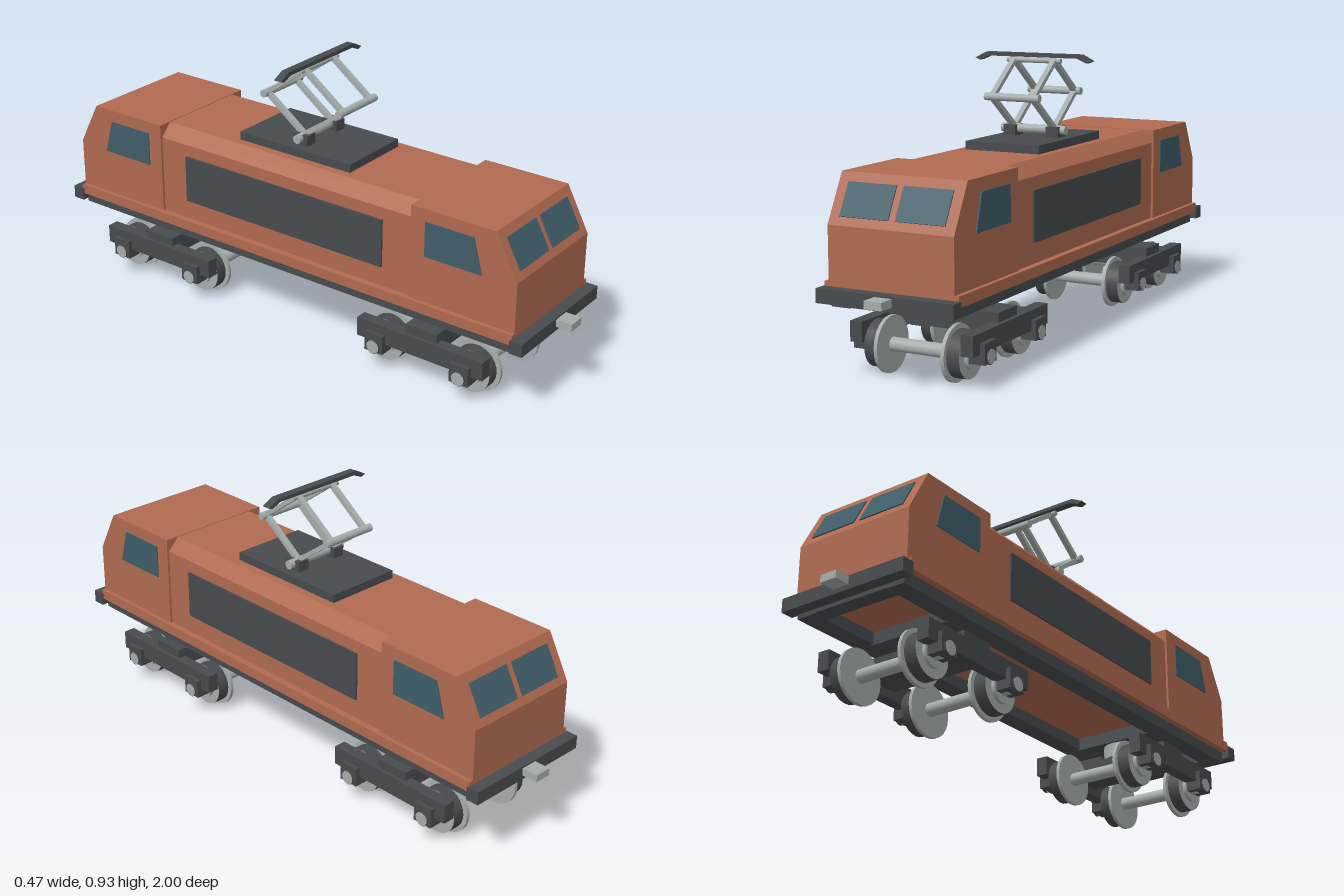
import * as THREE from 'three';

const mat = (color) => new THREE.MeshStandardMaterial({ color });
const paint = mat(0xb06a50), dark = mat(0x474b4e), glass = mat(0x3f5d69), metal = mat(0xa4adab);

function add(parent, name, geo, material, x = 0, y = 0, z = 0) {
  const m = new THREE.Mesh(geo, material);
  m.name = name;
  m.position.set(x, y, z);
  parent.add(m);
  return m;
}

// Box given by its extents on each axis
function box(parent, name, material, [x0, x1], [y0, y1], [z0, z1]) {
  return add(parent, name, new THREE.BoxGeometry(x1 - x0, y1 - y0, z1 - z0), material,
    (x0 + x1) / 2, (y0 + y1) / 2, (z0 + z1) / 2);
}

// Cylinder lying along x
function rod(parent, name, material, r, x0, x1, y, z, open = false) {
  const g = new THREE.CylinderGeometry(r, r, x1 - x0, 28, 1, open).rotateZ(Math.PI / 2);
  return add(parent, name, g, material, (x0 + x1) / 2, y, z);
}

function extrude(points, depth) {
  const shape = new THREE.Shape(points.map(([x, y]) => new THREE.Vector2(x, y)));
  return new THREE.ExtrudeGeometry(shape, { depth, bevelEnabled: false }).translate(0, 0, -depth / 2);
}
// Profile given as (z, y), extruded along x
const sideProfile = (points, width) => extrude(points, width).rotateY(-Math.PI / 2);

function makeEnd(name) {
  const end = new THREE.Group();
  end.name = name;
  add(end, 'cab', sideProfile([[0.52, 0.31], [0.905, 0.31], [0.905, 0.48], [0.825, 0.63], [0.52, 0.63]], 0.43), paint);
  for (const s of [-1, 1]) {
    add(end, 'cabSideWindow', sideProfile([[0.575, 0.47], [0.783, 0.47], [0.75, 0.588], [0.575, 0.588]], 0.008), glass, s * 0.215);
    // windscreen pane lying on the sloped nose
    const pane = add(end, 'windscreen', new THREE.BoxGeometry(0.168, 0.11, 0.008), glass, s * 0.096, 0.553, 0.866);
    pane.rotation.x = -Math.atan2(0.08, 0.15);
  }
  box(end, 'bufferBeam', dark, [-0.235, 0.235], [0.25, 0.295], [0.9, 0.945]);
  box(end, 'endCrossMember', dark, [-0.207, 0.207], [0.237, 0.28], [0.85, 0.905]);
  box(end, 'bolster', dark, [-0.15, 0.15], [0.232, 0.277], [0.48, 0.64]);
  box(end, 'coupler', metal, [-0.03, 0.03], [0.265, 0.29], [0.94, 1.0]);
  end.add(makeBogie());
  return end;
}

function makeBogie() {
  const bogie = new THREE.Group();
  bogie.name = 'bogie';
  bogie.position.z = 0.56;
  add(bogie, 'pivot', new THREE.CylinderGeometry(0.073, 0.073, 0.05, 32), metal, 0, 0.209, 0);
  box(bogie, 'transom', dark, [-0.2, 0.2], [0.13, 0.185], [-0.06, 0.06]);
  for (const s of [-1, 1]) {
    const span = (a, b) => (s > 0 ? [a, b] : [-b, -a]);
    box(bogie, 'transomEnd', dark, span(0.06, 0.2), [0.18, 0.198], [-0.06, 0.06]);
    box(bogie, 'sideFrame', dark, span(0.172, 0.214), [0.103, 0.168], [-0.24, 0.24]);
    for (const z of [-0.163, 0.163]) {
      // flange, tyre, wheel centre and hub
      rod(bogie, 'wheelFlange', metal, 0.09, ...span(0.11, 0.122), 0.09, z);
      rod(bogie, 'wheelCentre', metal, 0.0742, ...span(0.12, 0.165), 0.09, z);
      rod(bogie, 'wheelTyre', dark, 0.075, ...span(0.122, 0.1655), 0.09, z, true);
      rod(bogie, 'wheelHub', metal, 0.045, ...span(0.16, 0.177), 0.09, z);
      box(bogie, 'axleBox', dark, span(0.172, 0.23), [0.072, 0.138], [z - 0.035, z + 0.035]);
      rod(bogie, 'axleBoxRim', dark, 0.0245, ...span(0.225, 0.234), 0.092, z);
      rod(bogie, 'axleEnd', metal, 0.023, ...span(0.225, 0.235), 0.092, z);
    }
  }
  for (const z of [-0.163, 0.163]) rod(bogie, 'axle', metal, 0.022, -0.2, 0.2, 0.09, z);
  return bogie;
}

function makePantograph() {
  const p = new THREE.Group();
  p.name = 'pantograph';
  box(p, 'roofPlate', dark, [-0.135, 0.135], [0.626, 0.656], [-0.228, 0.228]);
  rod(p, 'lowerShaft', metal, 0.015, -0.12, 0.12, 0.68, 0);
  rod(p, 'topShaft', metal, 0.009, -0.1, 0.1, 0.91, 0);
  for (const x of [-0.08, 0.08]) box(p, 'shaftBracket', dark, [x - 0.022, x + 0.022], [0.655, 0.692], [-0.03, 0.03]);
  for (const sz of [-1, 1]) {
    rod(p, 'kneeShaft', metal, 0.013, -0.1, 0.1, 0.798, sz * 0.155);
    for (const x of [-0.075, 0.075]) {
      for (const [name, y] of [['lowerArm', 0.684], ['upperArm', 0.912]]) {
        const dy = 0.798 - y, dz = sz * 0.155;
        const arm = add(p, name, new THREE.BoxGeometry(0.019, 0.015, Math.hypot(dy, dz)), metal, x, y + dy / 2, dz / 2);
        arm.rotation.x = -Math.atan2(dy, dz);
      }
    }
  }
  // contact strip with drooping horns
  add(p, 'contactStrip', extrude([[-0.217, 0.913], [-0.2, 0.906], [-0.165, 0.921], [0.165, 0.921],
    [0.2, 0.906], [0.217, 0.913], [0.175, 0.934], [-0.175, 0.934]], 0.028), dark);
  return p;
}

export function createModel() {
  const model = new THREE.Group();
  model.name = 'locomotive';

  // Middle body with chamfered roof edges
  add(model, 'middleBody', extrude([[-0.207, 0.31], [0.207, 0.31], [0.207, 0.585], [0.165, 0.628],
    [-0.165, 0.628], [-0.207, 0.585]], 1.06), paint);
  box(model, 'bodySill', paint, [-0.23, 0.23], [0.275, 0.31], [-0.905, 0.905]);

  for (const s of [-1, 1]) {
    box(model, 'sideGrille', dark, [s * 0.209 - 0.005, s * 0.209 + 0.005], [0.378, 0.543], [-0.41, 0.41]);
    box(model, 'frameRail', dark, [s * 0.174 - 0.033, s * 0.174 + 0.033], [0.235, 0.277], [-0.905, 0.905]);
  }

  const back = makeEnd('backEnd');
  back.rotation.y = Math.PI;
  model.add(makeEnd('frontEnd'), back, makePantograph());
  return model;
}
